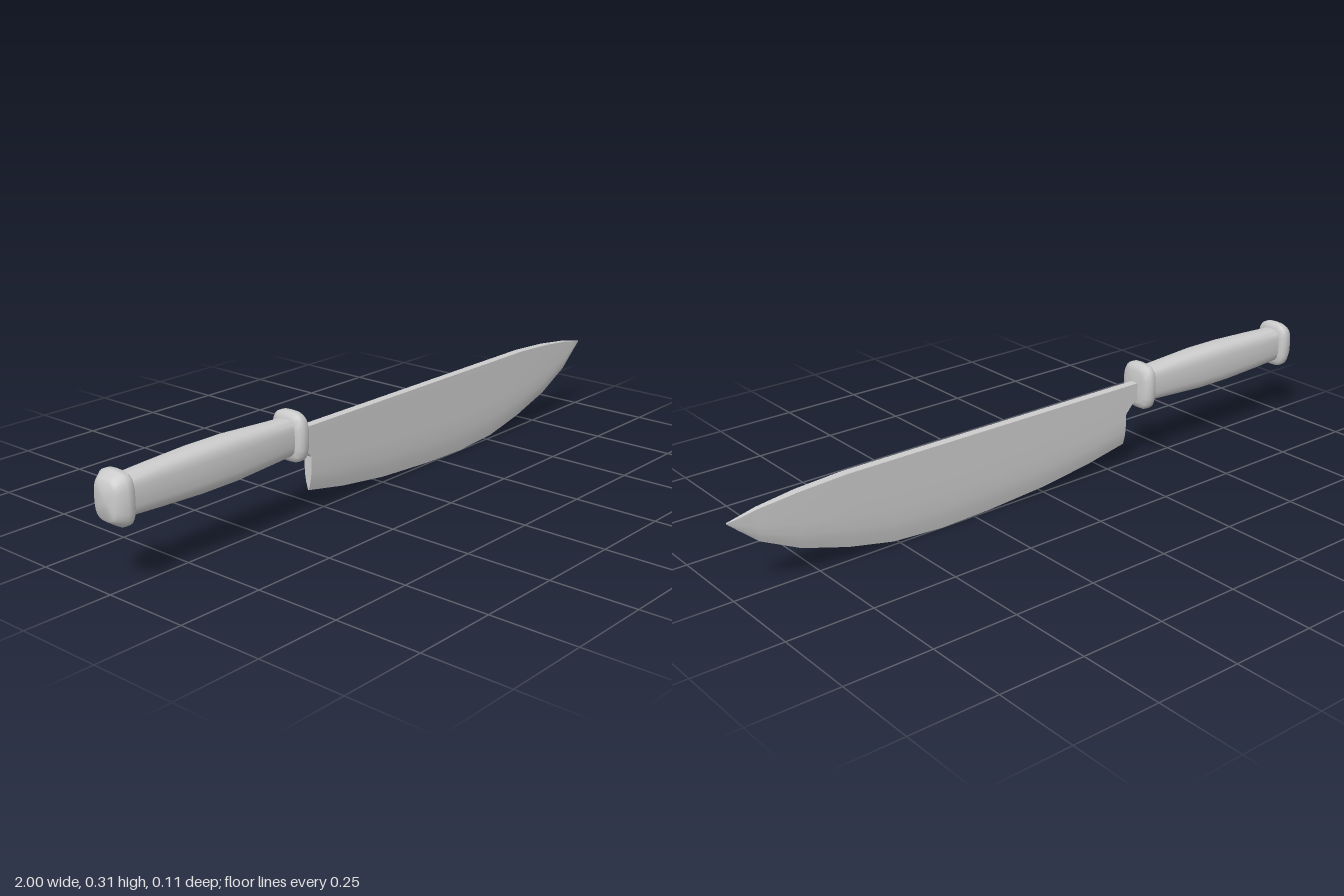
import * as THREE from 'three';
import { toCreasedNormals } from 'three/addons/utils/BufferGeometryUtils.js';

const material = new THREE.MeshStandardMaterial({ color: 0xcccccc });

// Skins a row of closed rings (counter-clockwise seen from +x) and caps both ends.
function loft(name, rings, crease) {
  const n = rings[0].length;
  const pos = rings.flat(2);
  const index = [];
  for (let i = 0; i < rings.length - 1; i++) {
    for (let j = 0; j < n; j++) {
      const k = (j + 1) % n;
      const a = i * n + j, b = i * n + k, c = b + n, d = a + n;
      index.push(a, b, d, b, c, d);
    }
  }
  const addCap = (ring, start, flip) => {
    const centre = pos.length / 3;
    for (let c = 0; c < 3; c++) pos.push(ring.reduce((s, p) => s + p[c], 0) / n);
    for (let j = 0; j < n; j++) {
      const a = start + j, b = start + (j + 1) % n;
      index.push(centre, flip ? b : a, flip ? a : b);
    }
  };
  addCap(rings[0], 0, true);
  addCap(rings[rings.length - 1], (rings.length - 1) * n, false);
  const geometry = new THREE.BufferGeometry();
  geometry.setAttribute('position', new THREE.Float32BufferAttribute(pos, 3));
  geometry.setIndex(index);
  const mesh = new THREE.Mesh(toCreasedNormals(geometry, crease), material);
  mesh.name = name;
  return mesh;
}

// Soft rectangular ring across the handle axis.
function softRing([x, halfY, halfZ], sides = 24) {
  const bulge = (v) => Math.sign(v) * Math.abs(v) ** (2 / 3.2);
  return Array.from({ length: sides }, (_, j) => {
    const t = (j / sides) * Math.PI * 2;
    return [x, 0.24 + halfY * bulge(Math.cos(t)), halfZ * bulge(Math.sin(t))];
  });
}

// Blade cross-section: [height fraction from the edge, share of the half thickness].
const BEVEL = [[0, 0.1], [0.12, 0.6], [0.25, 0.9], [0.45, 1], [1, 1]];
const SLAB = [[0, 1], [1, 1]];

function bladeRing([x, low, high, half], section) {
  const side = section.map(([f, w]) => [x, low + (high - low) * f, half * w]);
  return [...[...side].reverse(), ...side.map(([px, py, pz]) => [px, py, -pz])];
}

export function createModel() {
  const model = new THREE.Group();
  model.name = 'knife';

  // Handle parts: [x, half height, half depth]
  const pommel = [
    [-1, 0.048, 0.036], [-0.993, 0.056, 0.044], [-0.972, 0.07, 0.057],
    [-0.955, 0.07, 0.057], [-0.948, 0.064, 0.051], [-0.945, 0.05, 0.036],
  ];
  const grip = [
    [-0.955, 0.052, 0.037], [-0.85, 0.057, 0.041], [-0.72, 0.062, 0.045],
    [-0.6, 0.062, 0.045], [-0.48, 0.056, 0.04], [-0.38, 0.051, 0.036],
  ];
  const guard = [
    [-0.396, 0.05, 0.038], [-0.392, 0.062, 0.05], [-0.383, 0.07, 0.057],
    [-0.366, 0.07, 0.057], [-0.356, 0.062, 0.05], [-0.352, 0.048, 0.036],
  ];
  const soft = (p) => p.map((s) => softRing(s));
  model.add(loft('pommel', soft(pommel), 0.8));
  model.add(loft('grip', soft(grip), 0.8));
  model.add(loft('guard', soft(guard), 0.8));

  // Blade parts: [x, bottom, top, half thickness]
  const neck = [
    [-0.365, 0.203, 0.253, 0.013], [-0.35, 0.2, 0.253, 0.013],
    [-0.335, 0.192, 0.253, 0.013], [-0.31, 0.165, 0.253, 0.013],
  ];
  const blade = [
    [-0.31, 0.066, 0.253, 0.013], [-0.17, 0.039, 0.253, 0.013],
    [0, 0.017, 0.253, 0.013], [0.2, 0.004, 0.253, 0.013],
    [0.36, 0, 0.253, 0.013], [0.52, 0.01, 0.253, 0.013],
    [0.66, 0.04, 0.253, 0.013], [0.8, 0.083, 0.245, 0.012],
    [0.915, 0.14, 0.232, 0.008], [0.97, 0.187, 0.221, 0.005],
    [1, 0.213, 0.216, 0.002],
  ];
  model.add(loft('neck', neck.map((s) => bladeRing(s, SLAB)), 0.5));
  model.add(loft('blade', blade.map((s) => bladeRing(s, BEVEL)), 0.5));
  return model;
}
